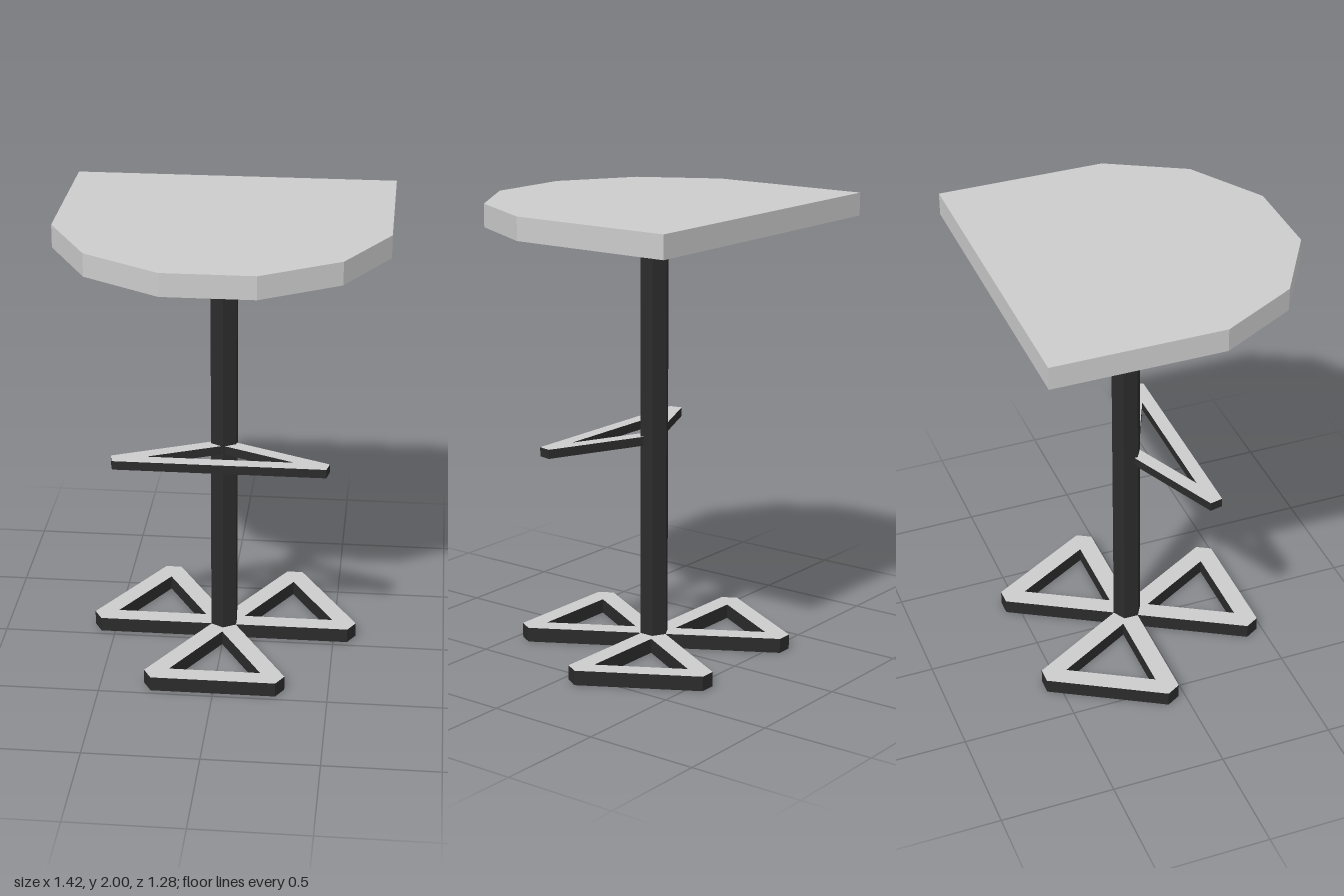
import * as THREE from 'three';

const light = new THREE.MeshStandardMaterial({ color: 0xcccccc, flatShading: true });
const dark = new THREE.MeshStandardMaterial({ color: 0x2b2b2b, flatShading: true });

// Upright slab from a plan outline; its underside, top and rim each get a material
function slab(name, shape, y, height, materials) {
  const geo = new THREE.ExtrudeGeometry(shape, { depth: height, bevelEnabled: false });
  const caps = geo.groups[0].count;
  const total = geo.attributes.position.count;
  geo.clearGroups();
  geo.addGroup(0, caps / 2, 0);
  geo.addGroup(caps / 2, caps / 2, 1);
  geo.addGroup(caps, total - caps, 2);
  geo.rotateX(-Math.PI / 2);
  const mesh = new THREE.Mesh(geo, materials);
  mesh.name = name;
  mesh.position.y = y;
  return mesh;
}

// Triangular bar loop: cut outer corners, sharp inner corners (counter-clockwise centre line)
function barLoop(points, width) {
  const outer = [], inner = [], h = width / 2;
  const normal = (a, b) => {
    const d = b.clone().sub(a).normalize();
    return new THREE.Vector2(d.y, -d.x);
  };
  points.forEach((p, i) => {
    const n1 = normal(points[(i + points.length - 1) % points.length], p);
    const n2 = normal(p, points[(i + 1) % points.length]);
    outer.push(p.clone().addScaledVector(n1, h), p.clone().addScaledVector(n2, h));
    inner.push(p.clone().addScaledVector(n1.clone().add(n2), -h / (1 + n1.dot(n2))));
  });
  const shape = new THREE.Shape(outer);
  shape.holes.push(new THREE.Path(inner));
  return shape;
}

const v = (x, z) => new THREE.Vector2(x, -z); // plan position to shape plane

export function createModel() {
  const model = new THREE.Group();
  model.name = 'barStool';
  const postZ = -0.06;

  // Seat: straight back, faceted round front
  const half = [[0.71, -0.64], [0.71, 0.1], [0.525, 0.44], [0.195, 0.64]];
  const outline = [
    ...half.map(([x, z]) => v(x, z)),
    ...half.slice().reverse().map(([x, z]) => v(-x, z)),
  ].reverse();
  model.add(slab('seat', new THREE.Shape(outline), 1.9, 0.1, [dark, light, light]));

  // Hexagonal post
  const post = new THREE.Mesh(new THREE.CylinderGeometry(0.065, 0.065, 1.9, 6), dark);
  post.name = 'post';
  post.position.set(0, 0.95, postZ);
  model.add(post);

  // Footrest
  const rest = barLoop([v(0, -0.036), v(-0.463, 0.17), v(0.463, 0.17)].reverse().map((p) => p), 0.06);
  const restCcw = barLoop([v(0, -0.036), v(-0.463, 0.17), v(0.463, 0.17)], 0.06);
  const area = THREE.ShapeUtils.area([v(0, -0.036), v(-0.463, 0.17), v(0.463, 0.17)]);
  model.add(slab('footrest', area > 0 ? restCcw : rest, 0.93, 0.04, [dark, light, dark]));

  // Three triangular feet around the post
  const base = new THREE.Group();
  base.name = 'base';
  base.position.z = postZ;
  for (let i = 0; i < 3; i++) {
    const foot = slab('foot', barLoop([v(0, 0.02), v(-0.273, 0.4935), v(0.273, 0.4935)], 0.083), 0, 0.065, [dark, light, dark]);
    foot.rotation.y = (i * Math.PI * 2) / 3;
    base.add(foot);
  }
  model.add(base);
  return model;
}
